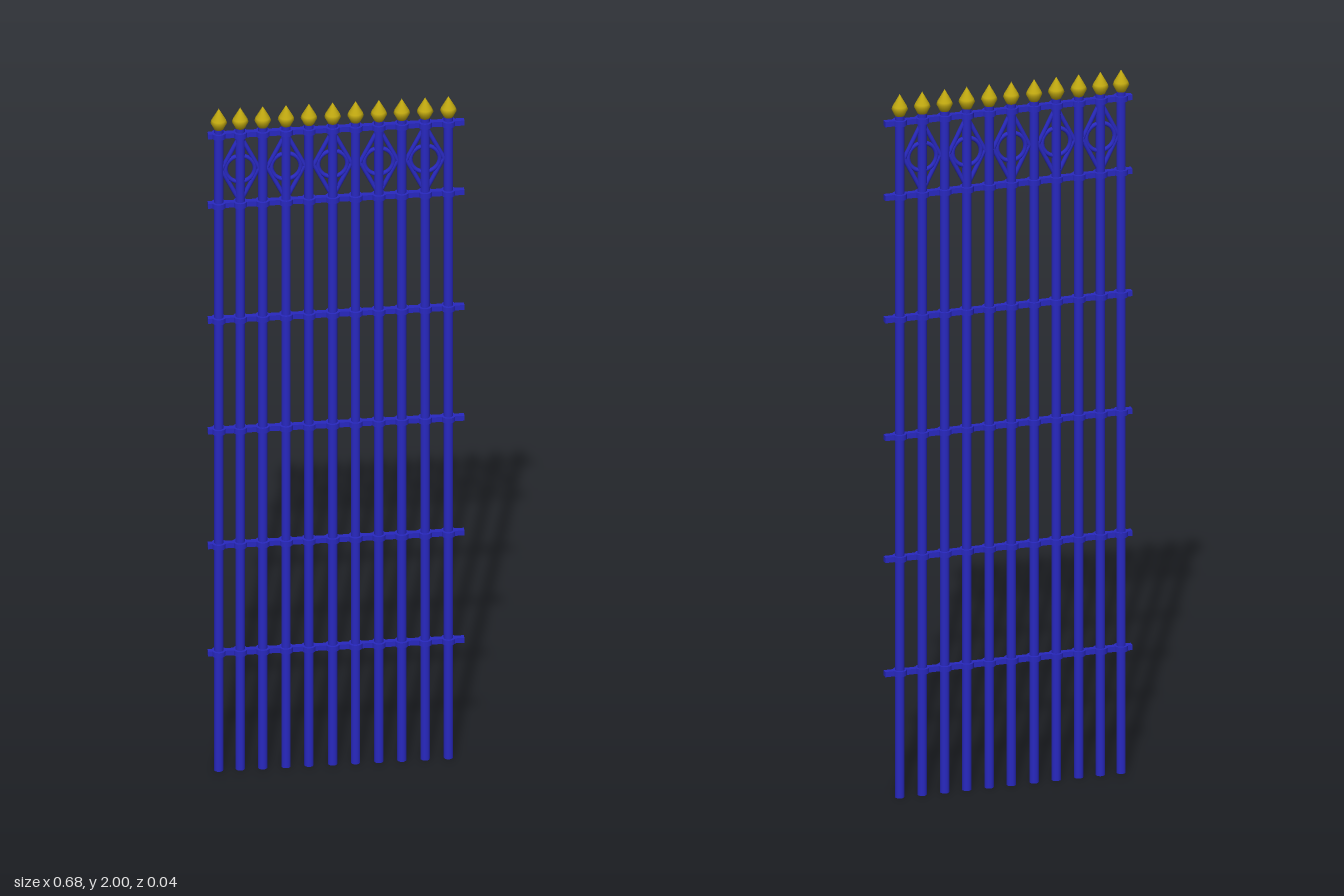
import * as THREE from 'three';

export function createModel() {
  const gate = new THREE.Group();
  gate.name = 'fencePanel';
  const blue = new THREE.MeshStandardMaterial({ color: 0x2828c0 });
  const gold = new THREE.MeshStandardMaterial({ color: 0xc0a810 });

  const barXs = [-0.312, -0.255, -0.195, -0.133, -0.072, -0.009, 0.052, 0.114, 0.175, 0.237, 0.299];
  const railYs = [0.355, 0.68, 1.027, 1.362, 1.71, 1.92];

  function add(name, geometry, material, x, y, parent = gate) {
    const mesh = new THREE.Mesh(geometry, material);
    mesh.name = name;
    mesh.position.set(x, y, 0);
    parent.add(mesh);
    return mesh;
  }

  // Horizontal rails
  const railGeo = new THREE.BoxGeometry(0.682, 0.015, 0.015);
  railYs.forEach(y => add('rail', railGeo, blue, 0, y));

  // Upright bars with a collar at each rail and a spear finial on top
  const barGeo = new THREE.CylinderGeometry(0.0125, 0.0125, 1.95, 20);
  const collarGeo = new THREE.CylinderGeometry(0.019, 0.019, 0.015, 20);
  const spear = [[0, 1.935], [0.012, 1.938], [0.022, 1.958], [0.019, 1.966], [0, 2]]
    .map(([r, y]) => new THREE.Vector2(r, y - 1.935));
  const spearGeo = new THREE.LatheGeometry(spear, 20);
  for (const x of barXs) {
    add('bar', barGeo, blue, x, 0.975);
    railYs.forEach(y => add('collar', collarGeo, blue, x, y));
    add('finial', spearGeo, gold, x, 1.935);
  }

  // Diamond and ring ornaments around every second bar
  const halfW = 0.05, halfH = 0.1;
  const strutGeo = new THREE.CylinderGeometry(0.006, 0.006, Math.hypot(halfW, halfH), 10);
  const ringGeo = new THREE.TorusGeometry(0.039, 0.006, 10, 32);
  for (let i = 1; i < barXs.length; i += 2) {
    const ornament = new THREE.Group();
    ornament.name = 'ornament';
    ornament.position.set(barXs[i], 1.815, 0);
    add('ring', ringGeo, blue, 0, 0, ornament);
    for (const sx of [-1, 1]) for (const sy of [-1, 1]) {
      const strut = add('diamondStrut', strutGeo, blue, sx * halfW / 2, sy * halfH / 2, ornament);
      strut.rotation.z = sx * sy * Math.atan2(halfW, halfH);
    }
    gate.add(ornament);
  }
  return gate;
}
